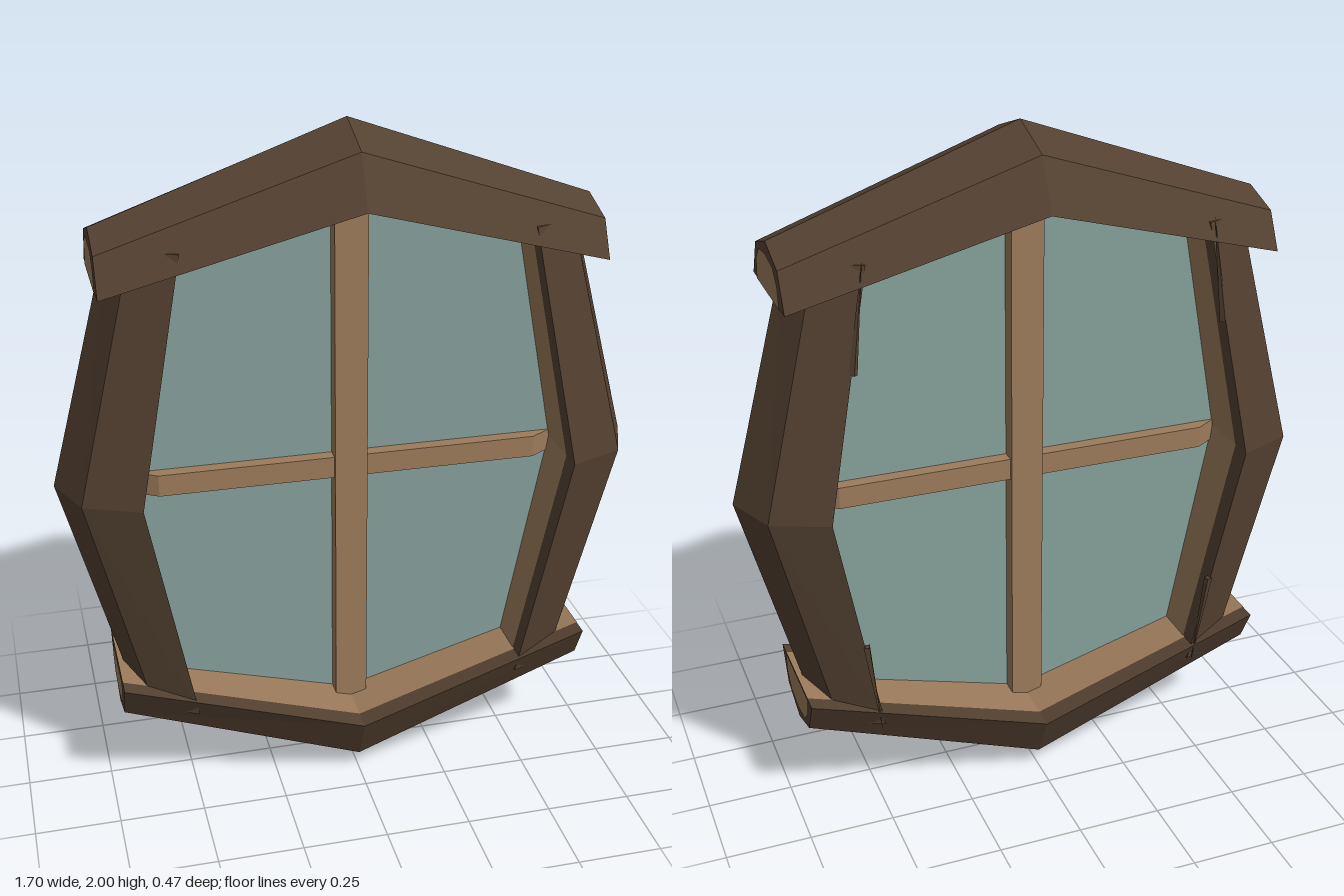
import * as THREE from 'three';

const mat = (name, color) => {
  const m = new THREE.MeshStandardMaterial({ color });
  m.name = name;
  return m;
};

// Half-log outline as [z, y] fractions of the half width and height
const LOG = [[1, 0], [0.7, 0.72], [0, 1], [-0.7, 0.72], [-1, 0]];
// Pale heartwood visible on the sawn ends
const HEART = [[0.72, 0], [0.67, 0.42], [0.45, 0.69], [0, 0.76], [-0.45, 0.69], [-0.67, 0.42], [-0.72, 0]];
const STRIP = [[-0.72, 0], [0.72, 0]];

// Log stations along x: the middle is thick, both ends are thinner and lower
const stations = (s) => [-1, 0, 1].map((t) => {
  const k = Math.abs(t);
  return { x: t * s.half, base: s.base[k], w: s.width[k], h: s.height[k] };
});

function triangles(quads) {
  const g = new THREE.BufferGeometry();
  g.setAttribute('position', new THREE.Float32BufferAttribute(quads.flat(), 3));
  g.computeVertexNormals();
  return g;
}

function sweep(profile, spec, closed, lift = 0) {
  const rings = stations(spec).map((s) =>
    profile.map(([z, y]) => [s.x, s.base + y * s.h - lift, z * s.w]));
  const tris = [];
  const n = profile.length;
  for (let r = 0; r < 2; r++) {
    for (let i = 0; i < (closed ? n : n - 1); i++) {
      const j = (i + 1) % n;
      const [a, b, c, d] = [rings[r][i], rings[r + 1][i], rings[r + 1][j], rings[r][j]];
      tris.push(...a, ...b, ...c, ...a, ...c, ...d);
    }
  }
  if (closed) tris.push(...ends(profile, spec, 0));
  return triangles(tris);
}

// Flat faces on both ends of a log
function ends(profile, spec, lift) {
  const tris = [];
  const all = stations(spec);
  for (const [s, dir] of [[all[0], -1], [all[2], 1]]) {
    const p = profile.map(([z, y]) => [s.x + dir * lift, s.base + y * s.h, z * s.w]);
    for (let i = 1; i < p.length - 1; i++) {
      tris.push(...p[0], ...(dir > 0 ? p[i + 1] : p[i]), ...(dir > 0 ? p[i] : p[i + 1]));
    }
  }
  return tris;
}

export function createModel() {
  const model = new THREE.Group();
  model.name = 'window';
  const bark = mat('bark', 0x544131);
  const wood = mat('cut wood', 0x9c7b5b);
  const glass = mat('glass', 0x86a09b);
  bark.flatShading = wood.flatShading = glass.flatShading = true;

  const add = (parent, name, geometry, material) => {
    const m = new THREE.Mesh(geometry, material);
    m.name = name;
    parent.add(m);
    return m;
  };

  // Four half logs around the window centre
  const rail = { half: 0.707, base: [0.8, 0.6], width: [0.233, 0.18], height: [0.2, 0.145] };
  const post = { half: 0.71, base: [0.625, 0.49], width: [0.225, 0.181], height: [0.225, 0.172] };
  ['topRail', 'rightPost', 'bottomRail', 'leftPost'].forEach((name, i) => {
    const spec = i % 2 ? post : rail;
    const log = new THREE.Group();
    log.name = name;
    log.position.y = 1;
    log.rotation.z = i * Math.PI / 2;
    add(log, 'barkLog', sweep(LOG, spec, true), bark);
    add(log, 'innerFace', sweep(STRIP, spec, false, 0.002), wood);
    if (spec === rail) add(log, 'sawnEnds', triangles(ends(HEART, spec, 0.002)), wood);
    model.add(log);
  });
  // Posts face inwards: +90 degrees turns up to -x, which is the model's right

  // Glass pane, its edge hidden inside the logs
  const pane = new THREE.Shape([
    [0, 1.83], [-0.52, 1.69], [-0.65, 1], [-0.52, 0.31],
    [0, 0.17], [0.52, 0.31], [0.65, 1], [0.52, 1.69],
  ].map(([x, y]) => new THREE.Vector2(x, y)));
  const paneGeo = new THREE.ExtrudeGeometry(pane, { depth: 0.02, bevelEnabled: false });
  add(model, 'glassPane', paneGeo.translate(0, 0, -0.01), glass);

  // Crossing glazing bars
  add(model, 'uprightBar', new THREE.BoxGeometry(0.096, 1.61, 0.12), wood).position.y = 1;
  const bar = new THREE.Shape([
    [-0.56, -0.05], [0.56, -0.05], [0.64, 0], [0.56, 0.05], [-0.56, 0.05], [-0.64, 0],
  ].map(([x, y]) => new THREE.Vector2(x, y)));
  const barGeo = new THREE.ExtrudeGeometry(bar, { depth: 0.065, bevelEnabled: false });
  add(model, 'crossBar', barGeo.rotateX(-Math.PI / 2).translate(0, 0.955, 0), wood);

  // Thin bark splinters at the back corners
  for (const sx of [-1, 1]) {
    for (const sy of [-1, 1]) {
      const from = new THREE.Vector3(sx * 0.54, 1 + sy * 0.42, -0.195);
      const to = new THREE.Vector3(sx * 0.5, 1 + sy * 0.73, -0.185);
      const dir = to.clone().sub(from);
      const splinter = add(model, 'splinter', new THREE.ConeGeometry(0.012, dir.length(), 4), bark);
      splinter.position.copy(from).addScaledVector(dir, 0.5);
      splinter.quaternion.setFromUnitVectors(new THREE.Vector3(0, 1, 0), dir.normalize());
    }
  }
  return model;
}
